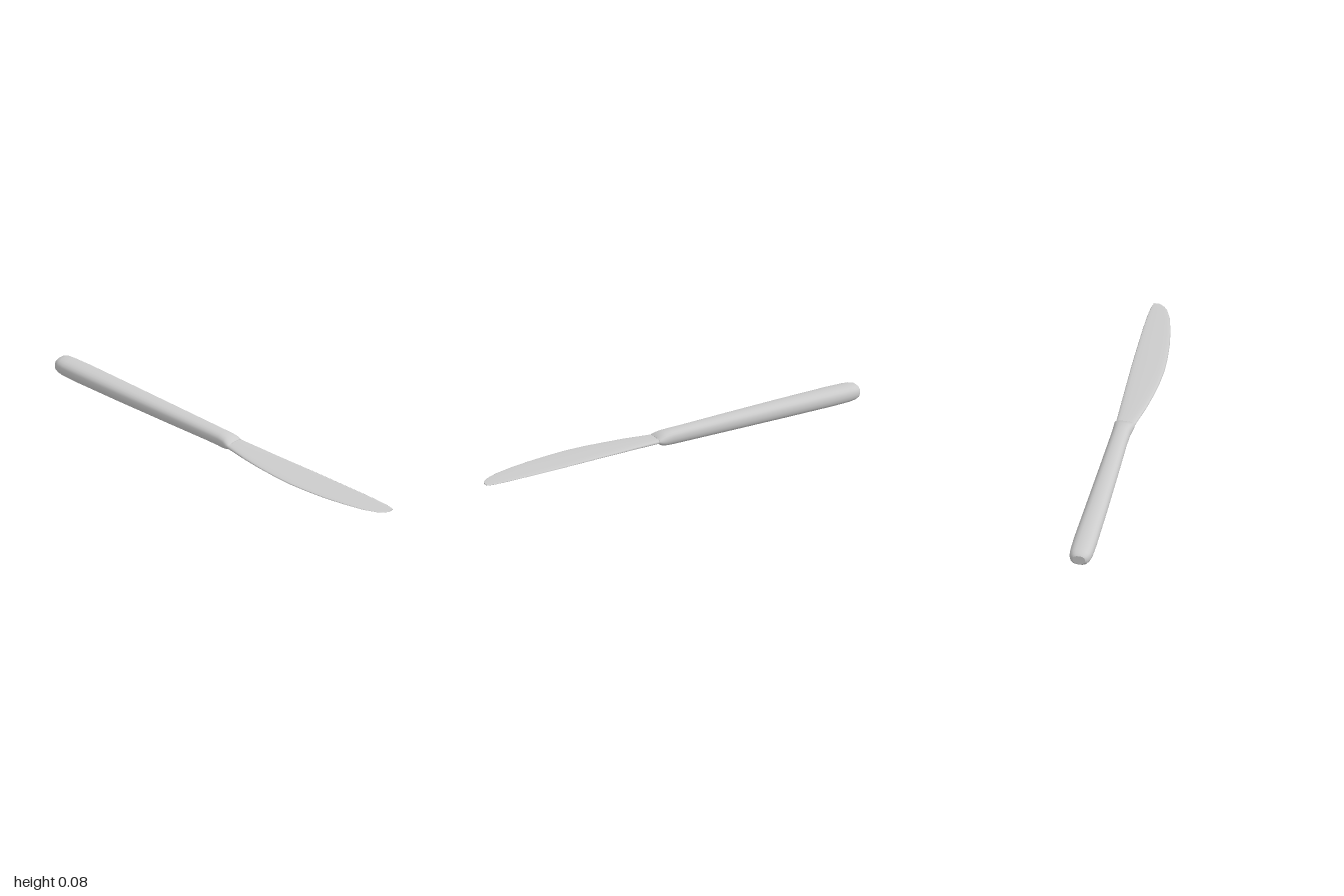
import * as THREE from 'three';

const material = new THREE.MeshStandardMaterial({ color: 0xcccccc });

// Skins superellipse cross-sections along x.
// Each section: [x, zBack, zFront, centreY, halfHeight]; power sets how boxy it is.
function loft(name, sections, sides, power) {
  const pos = [], index = [];
  const round = (v) => Math.sign(v) * Math.pow(Math.abs(v), 2 / power);
  const addRing = ([x, z0, z1, y, h]) => {
    const start = pos.length / 3;
    for (let j = 0; j < sides; j++) {
      const a = (j / sides) * Math.PI * 2;
      pos.push(x, y + h * round(Math.sin(a)), (z0 + z1) / 2 + ((z1 - z0) / 2) * round(Math.cos(a)));
    }
    return start;
  };
  const rings = sections.map(addRing);
  for (let i = 0; i < rings.length - 1; i++) {
    for (let j = 0; j < sides; j++) {
      const k = (j + 1) % sides;
      const a = rings[i] + j, b = rings[i] + k, c = rings[i + 1] + j, d = rings[i + 1] + k;
      index.push(a, c, b, b, c, d);
    }
  }
  // flat end caps with their own vertices
  [sections[0], sections[sections.length - 1]].forEach((s, end) => {
    const ring = addRing(s);
    const centre = pos.length / 3;
    pos.push(s[0], s[3], (s[1] + s[2]) / 2);
    for (let j = 0; j < sides; j++) {
      const a = ring + j, b = ring + (j + 1) % sides;
      if (end) index.push(centre, b, a);
      else index.push(centre, a, b);
    }
  });
  const geometry = new THREE.BufferGeometry();
  geometry.setAttribute('position', new THREE.Float32BufferAttribute(pos, 3));
  geometry.setIndex(index);
  geometry.computeVertexNormals();
  const mesh = new THREE.Mesh(geometry, material);
  mesh.name = name;
  return mesh;
}

export function createModel() {
  const knife = new THREE.Group();
  knife.name = 'tableKnife';

  // Handle: rounded butt, slim waist, short shoulder into the blade
  knife.add(loft('handle', [
    [-1.0, -0.042, 0.018, 0.044, 0.022],
    [-0.99, -0.054, 0.03, 0.043, 0.032],
    [-0.97, -0.062, 0.038, 0.043, 0.037],
    [-0.94, -0.065, 0.042, 0.042, 0.04],
    [-0.85, -0.067, 0.043, 0.042, 0.0415],
    [-0.6, -0.065, 0.038, 0.042, 0.041],
    [-0.3, -0.063, 0.03, 0.042, 0.0385],
    [-0.08, -0.062, 0.023, 0.042, 0.036],
    [0.0, -0.062, 0.023, 0.042, 0.035],
    [0.035, -0.064, 0.027, 0.042, 0.032],
    [0.06, -0.066, 0.031, 0.042, 0.024],
    [0.075, -0.063, 0.03, 0.043, 0.013],
  ], 20, 2.4));

  // Blade: thin, nearly straight spine at the back, bellied edge at the front
  knife.add(loft('blade', [
    [0.05, -0.06, 0.028, 0.043, 0.012],
    [0.1, -0.061, 0.036, 0.043, 0.011],
    [0.2, -0.065, 0.055, 0.044, 0.009],
    [0.3, -0.069, 0.068, 0.044, 0.0075],
    [0.4, -0.073, 0.077, 0.045, 0.0065],
    [0.5, -0.077, 0.08, 0.045, 0.006],
    [0.6, -0.08, 0.074, 0.045, 0.005],
    [0.7, -0.082, 0.063, 0.045, 0.0045],
    [0.8, -0.084, 0.046, 0.046, 0.004],
    [0.9, -0.084, 0.022, 0.046, 0.003],
    [0.96, -0.081, -0.003, 0.046, 0.0025],
    [0.985, -0.078, -0.022, 0.046, 0.002],
    [1.0, -0.073, -0.043, 0.046, 0.002],
  ], 16, 2.8));

  return knife;
}
